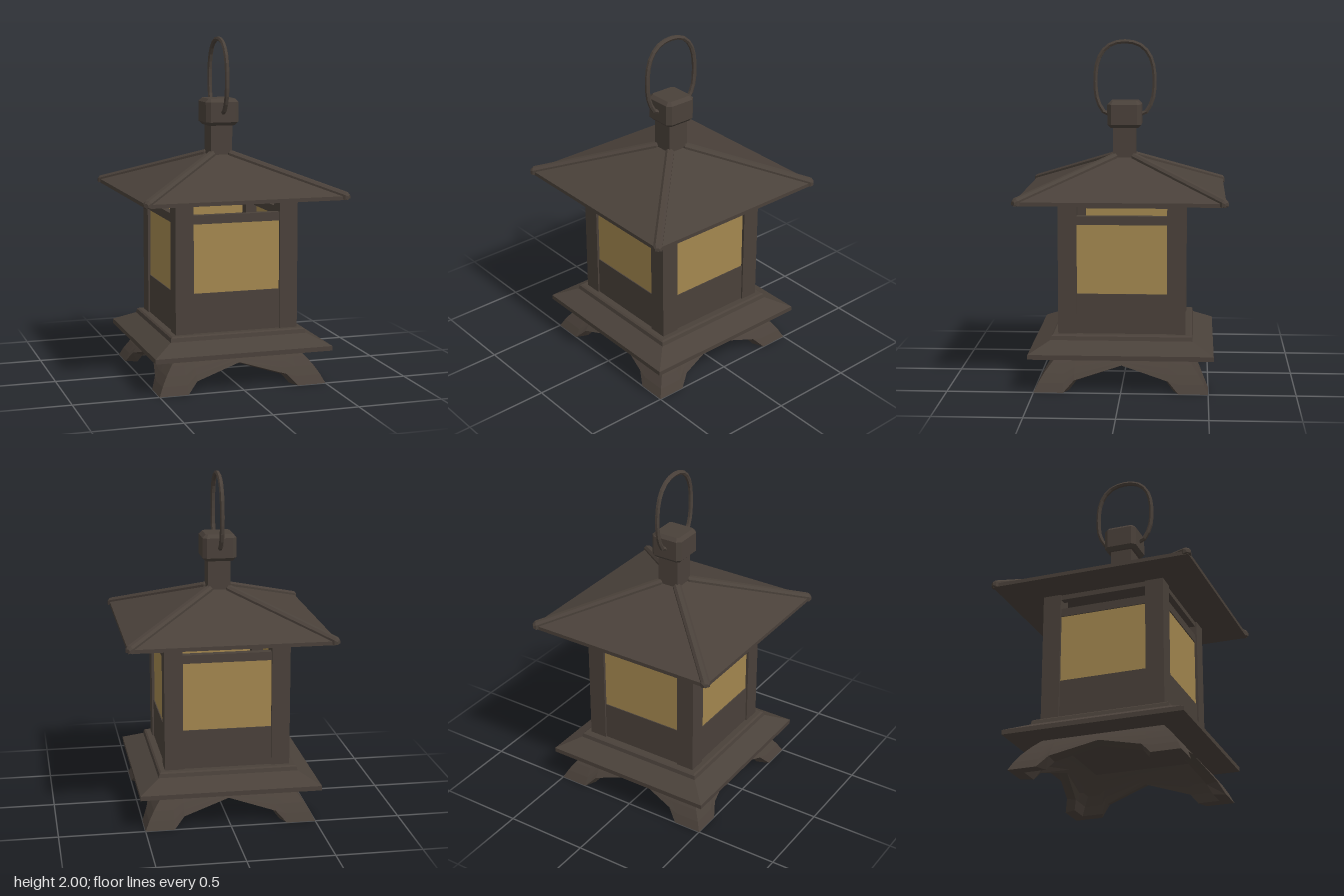
import * as THREE from 'three';

const iron = new THREE.MeshStandardMaterial({ color: 0x4a413a, flatShading: true });
const paper = new THREE.MeshStandardMaterial({ color: 0xa3874f, flatShading: true });

function add(parent, name, geometry, material = iron) {
  const mesh = new THREE.Mesh(geometry, material);
  mesh.name = name;
  parent.add(mesh);
  return mesh;
}

// Box given by its lower and upper corners
function box(x0, x1, y0, y1, z0, z1) {
  return new THREE.BoxGeometry(x1 - x0, y1 - y0, z1 - z0)
    .translate((x0 + x1) / 2, (y0 + y1) / 2, (z0 + z1) / 2);
}

// Square stack of [half width, height] levels, bottom to top
function squareStack(levels) {
  const points = levels.map(([half, y]) => new THREE.Vector2(half * Math.SQRT2, y));
  return new THREE.LatheGeometry(points, 4, Math.PI / 4);
}

// One flared, arched side of the foot, mitred at both corners
function footApron() {
  const flare = (y) => 0.5 - 0.4 * y - 1.5 * y * y;
  const top = 0.2, thickness = 0.07, rows = 4;
  // [outer x, inner x, outer bottom, inner bottom] from the middle to the corner
  const half = [[0, 0, 0.142, 0.127], [0.27, 0.26, 0.065, 0.05], [0.33, 0.3, 0, 0], [1, 1, 0, 0]];
  const columns = [
    ...half.slice(1).reverse().map(([a, b, c, d]) => [-a, -b, c, d]),
    ...half,
  ];
  const loopSize = 2 * (rows + 1);
  const positions = [], index = [];
  columns.forEach((column, c) => {
    for (let k = 0; k < loopSize; k++) {
      const inner = k > rows ? 1 : 0;
      const j = inner ? loopSize - 1 - k : k;
      const y = THREE.MathUtils.lerp(column[2 + inner], top, j / rows);
      const z = flare(y) - inner * thickness;
      positions.push(THREE.MathUtils.clamp(column[inner], -z, z), y, z);
      if (c < columns.length - 1) {
        const a = c * loopSize + k, b = c * loopSize + (k + 1) % loopSize;
        index.push(a, a + loopSize, b + loopSize, a, b + loopSize, b);
      }
    }
  });
  const geometry = new THREE.BufferGeometry();
  geometry.setAttribute('position', new THREE.Float32BufferAttribute(positions, 3));
  geometry.setIndex(index);
  geometry.computeVertexNormals();
  return geometry;
}

// Chamfered rib that follows the roof slope along a diagonal
function hipRib() {
  const outline = [[-0.014, -0.01], [0.014, -0.01], [0.014, 0.003], [0.007, 0.01], [-0.007, 0.01], [-0.014, 0.003]];
  const shape = new THREE.Shape(outline.map(([x, y]) => new THREE.Vector2(x, y)));
  const start = 0.07, end = 0.842, bevel = 0.015;
  const geometry = new THREE.ExtrudeGeometry(shape, {
    depth: end - start - 2 * bevel, bevelThickness: bevel, bevelSize: 0.011, bevelSegments: 1,
  });
  geometry.translate(0, 0, start + bevel);
  const p = geometry.attributes.position;
  for (let i = 0; i < p.count; i++) {
    p.setY(i, p.getY(i) + THREE.MathUtils.mapLinear(p.getZ(i), start, end, 1.318, 1.108));
  }
  geometry.computeVertexNormals();
  return geometry;
}

// Block with every edge chamfered
function chamferedBlock(half, y0, y1, bevel) {
  const a = half - bevel, b = a - bevel * 0.6;
  const shape = new THREE.Shape([[a, -b], [a, b], [b, a], [-b, a], [-a, b], [-a, -b], [-b, -a], [b, -a]]
    .map(([x, y]) => new THREE.Vector2(x, y)));
  return new THREE.ExtrudeGeometry(shape, {
    depth: y1 - y0 - 2 * bevel, bevelThickness: bevel, bevelSize: bevel, bevelSegments: 1,
  }).rotateX(-Math.PI / 2).translate(0, y0 + bevel, 0);
}

export function createModel() {
  const lantern = new THREE.Group();
  lantern.name = 'lantern';

  // Stepped base plate
  add(lantern, 'base', squareStack([[0, 0.2], [0.53, 0.2], [0.53, 0.227], [0.41, 0.287], [0.405, 0.31], [0.395, 0.317], [0, 0.317]]));

  // Everything that repeats on the four sides and corners
  const apron = footApron(), rib = hipRib();
  for (let i = 0; i < 4; i++) {
    const side = new THREE.Group();
    side.name = 'side' + (i + 1);
    side.rotation.y = i * Math.PI / 2;
    lantern.add(side);

    add(side, 'footApron', apron);
    add(side, 'cornerPost', box(0.26, 0.368, 0.31, 1.095, 0.26, 0.368));
    add(side, 'lowerBoard', box(-0.26, 0.26, 0.31, 0.55, 0.315, 0.358));
    add(side, 'middleRail', box(-0.26, 0.26, 0.952, 1.002, 0.315, 0.358));
    add(side, 'topRail', box(-0.26, 0.26, 1.06, 1.095, 0.315, 0.358));
    add(side, 'windowPane', box(-0.26, 0.26, 0.55, 0.952, 0.33, 0.352), paper);
    add(side, 'roofRib', rib).rotation.y = Math.PI / 4;
  }

  // Roof, neck and cap
  add(lantern, 'roof', squareStack([[0, 1.09], [0.592, 1.09], [0.592, 1.112], [0.05, 1.318], [0, 1.318]]));
  add(lantern, 'neck', box(-0.066, 0.066, 1.28, 1.5, -0.066, 0.066));
  add(lantern, 'cap', chamferedBlock(0.1, 1.485, 1.643, 0.02));

  // Carrying loop
  const halfLoop = [[0.085, 1.558], [0.112, 1.563], [0.15, 1.615], [0.17, 1.68], [0.17, 1.83], [0.145, 1.91], [0.1, 1.962], [0.04, 1.986]];
  const loopPoints = [...halfLoop, ...halfLoop.map(([z, y]) => [-z, y]).reverse()]
    .map(([z, y]) => new THREE.Vector3(0, y, z));
  add(lantern, 'carryingLoop', new THREE.TubeGeometry(new THREE.CatmullRomCurve3(loopPoints), 24, 0.014, 6));

  return lantern;
}
